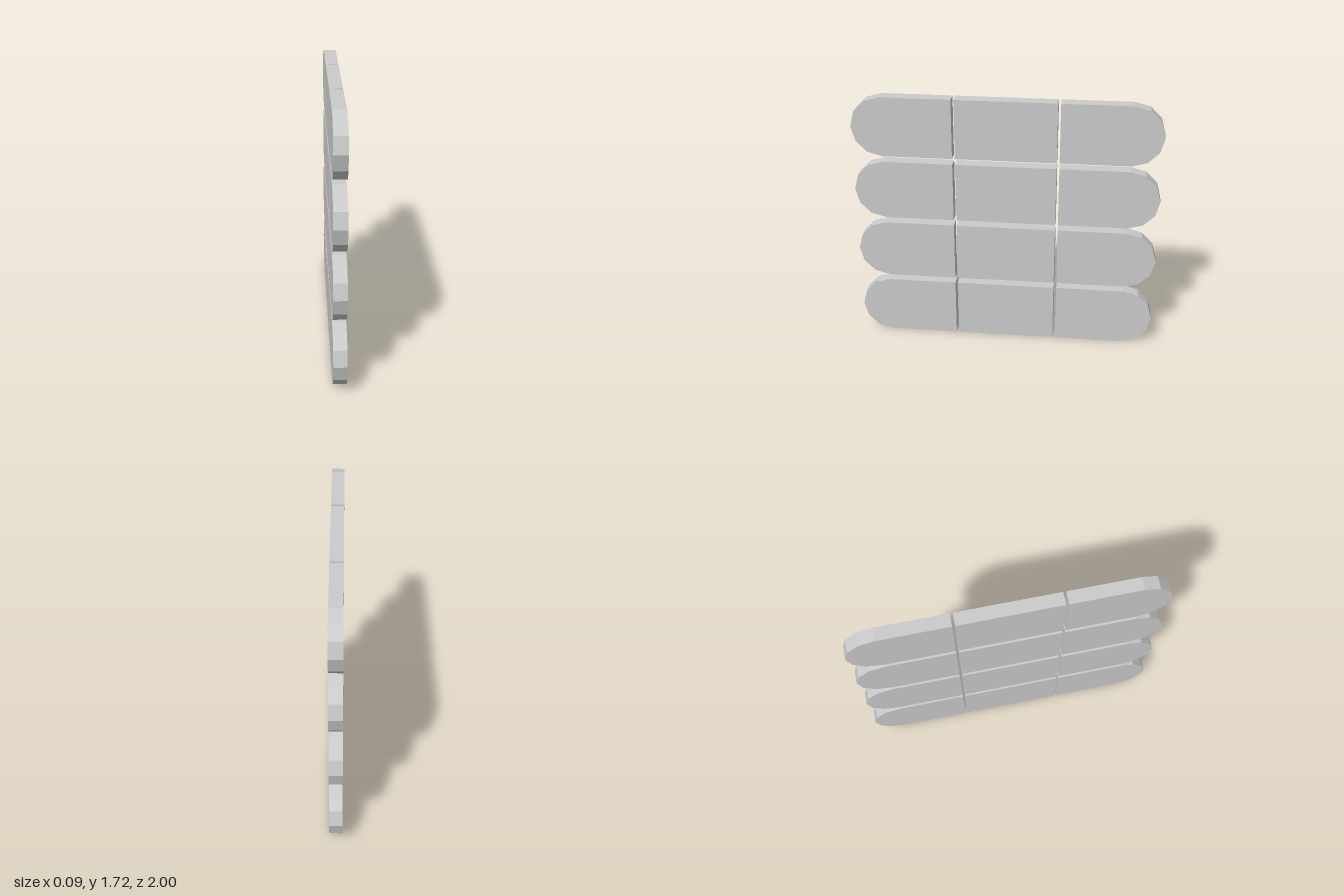
import * as THREE from 'three';

const ROWS = 4, PITCH = 0.44, RADIUS = 0.2, THICKNESS = 0.085;
const INNER = 0.328, GAP = 0.018, ARC_CENTRE = 0.8;

export function createModel() {
  const model = new THREE.Group();
  model.name = 'slattedPanel';
  const material = new THREE.MeshStandardMaterial({ color: 0xcccccc, flatShading: true });

  // Middle block of a slat
  const middleGeometry = new THREE.BoxGeometry(THICKNESS, 2 * RADIUS, 2 * INNER);

  // End block, square towards the middle and rounded in six facets outside
  const outline = new THREE.Shape();
  outline.moveTo(INNER + GAP, -RADIUS);
  outline.lineTo(ARC_CENTRE, -RADIUS);
  outline.absarc(ARC_CENTRE, 0, RADIUS, -Math.PI / 2, Math.PI / 2, false);
  outline.lineTo(INNER + GAP, RADIUS);
  outline.closePath();
  const endGeometry = new THREE.ExtrudeGeometry(outline, {
    depth: THICKNESS, bevelEnabled: false, curveSegments: 3,
  });
  endGeometry.translate(0, 0, -THICKNESS / 2);

  const addPart = (slat, name, geometry, turn = 0) => {
    const mesh = new THREE.Mesh(geometry, material);
    mesh.name = name;
    mesh.rotation.y = turn;
    slat.add(mesh);
  };

  // Stack of identical slats
  for (let i = 0; i < ROWS; i++) {
    const slat = new THREE.Group();
    slat.name = `slat${i + 1}`;
    slat.position.y = RADIUS + i * PITCH;
    addPart(slat, 'middleBlock', middleGeometry);
    addPart(slat, 'frontEnd', endGeometry, -Math.PI / 2);
    addPart(slat, 'backEnd', endGeometry, Math.PI / 2);
    model.add(slat);
  }
  return model;
}
